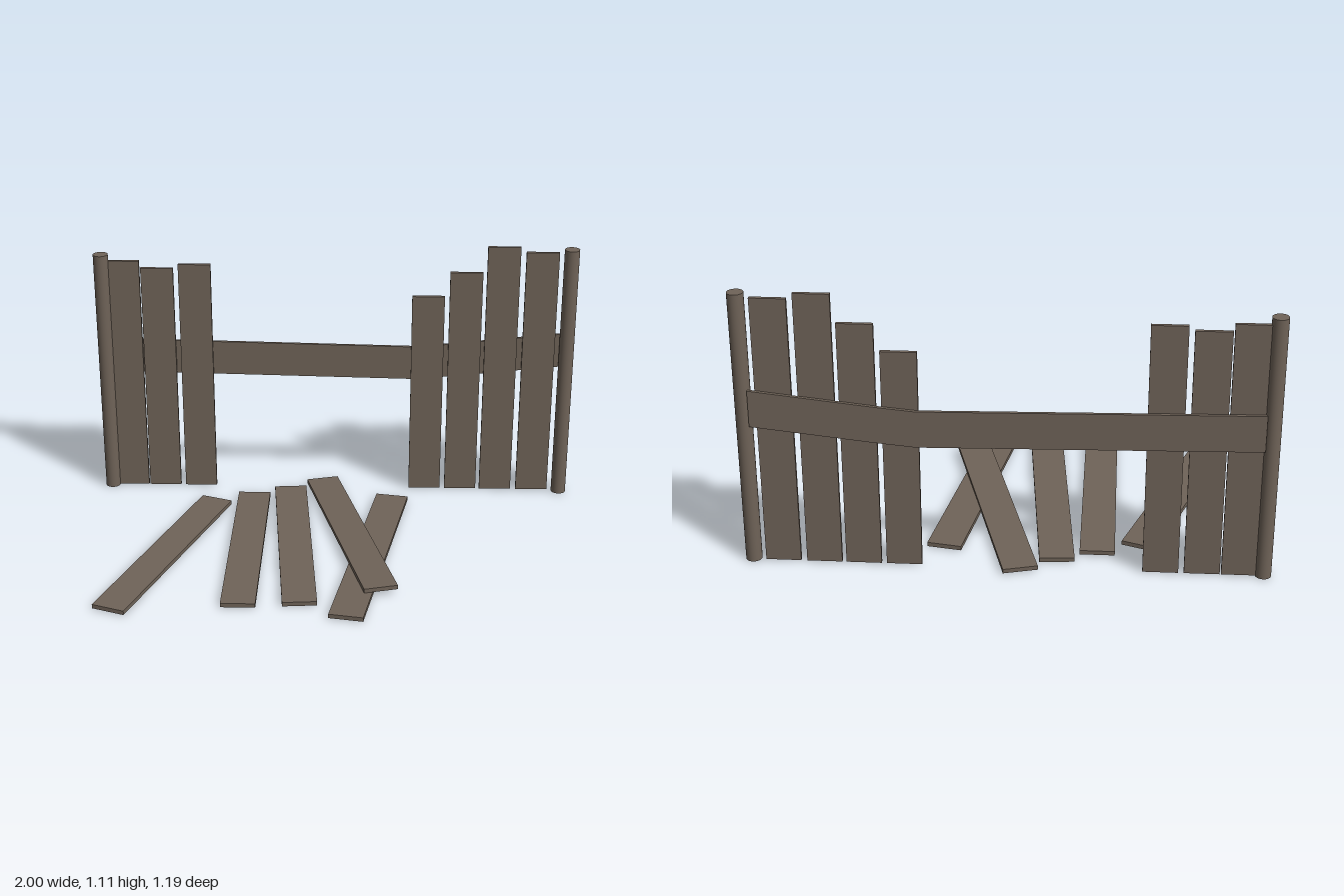
import * as THREE from 'three';

export function createModel() {
  const model = new THREE.Group();
  model.name = 'brokenFence';
  const wood = new THREE.MeshStandardMaterial({ color: 0x6f6358 });
  wood.name = 'weathered wood';

  const add = (name, geometry, x, y, z) => {
    const mesh = new THREE.Mesh(geometry, wood);
    mesh.name = name;
    mesh.position.set(x, y, z);
    model.add(mesh);
    return mesh;
  };

  // Round end posts: x, height
  for (const [name, x, h] of [['rightPost', -0.969, 1.058], ['leftPost', 0.968, 1.1]]) {
    add(name, new THREE.CylinderGeometry(0.031, 0.031, h, 24), x, h / 2, x < 0 ? -0.536 : -0.532);
  }

  // Standing boards: centre x, height
  const boards = [
    [-0.879, 1.03], [-0.739, 1.0], [-0.583, 1.018],
    [0.387, 0.888], [0.542, 0.994], [0.693, 1.106], [0.851, 1.084],
  ];
  boards.forEach(([x, h], i) => {
    add(`standingBoard${i + 1}`, new THREE.BoxGeometry(0.135, h - 0.004, 0.015), x, h / 2 + 0.002, -0.54);
  });

  // Sagging rail behind the boards: top edge points, bottom edge offset below
  const top = [[-0.945, 0.679], [0.33, 0.657], [0.48, 0.671], [0.945, 0.722]];
  const depth = 0.146;
  const outline = [...top, ...[...top].reverse().map(([x, y]) => [x, y - depth])];
  const railShape = new THREE.Shape(outline.map(([x, y]) => new THREE.Vector2(x, y)));
  add('rail', new THREE.ExtrudeGeometry(railShape, { depth: 0.013, bevelEnabled: false }), 0, 0, -0.561);

  // Fallen boards: x, y, z, length, turn, pitch
  const fallen = [
    [-0.667, 0.012, 0.085, 0.98, -0.348, 0],
    [-0.343, 0.012, 0.032, 0.936, 0, 0],
    [-0.149, 0.012, -0.008, 0.982, 0.086, 0],
    [0.074, 0.0225, -0.092, 1.006, 0.262, -0.018],
    [0.16, 0.012, 0.077, 1.018, -0.174, 0],
  ];
  fallen.forEach(([x, y, z, length, turn, pitch], i) => {
    const board = add(`fallenBoard${i + 1}`, new THREE.BoxGeometry(0.135, 0.017, length), x, y, z);
    board.rotation.set(pitch, turn, 0, 'YXZ');
  });

  return model;
}
